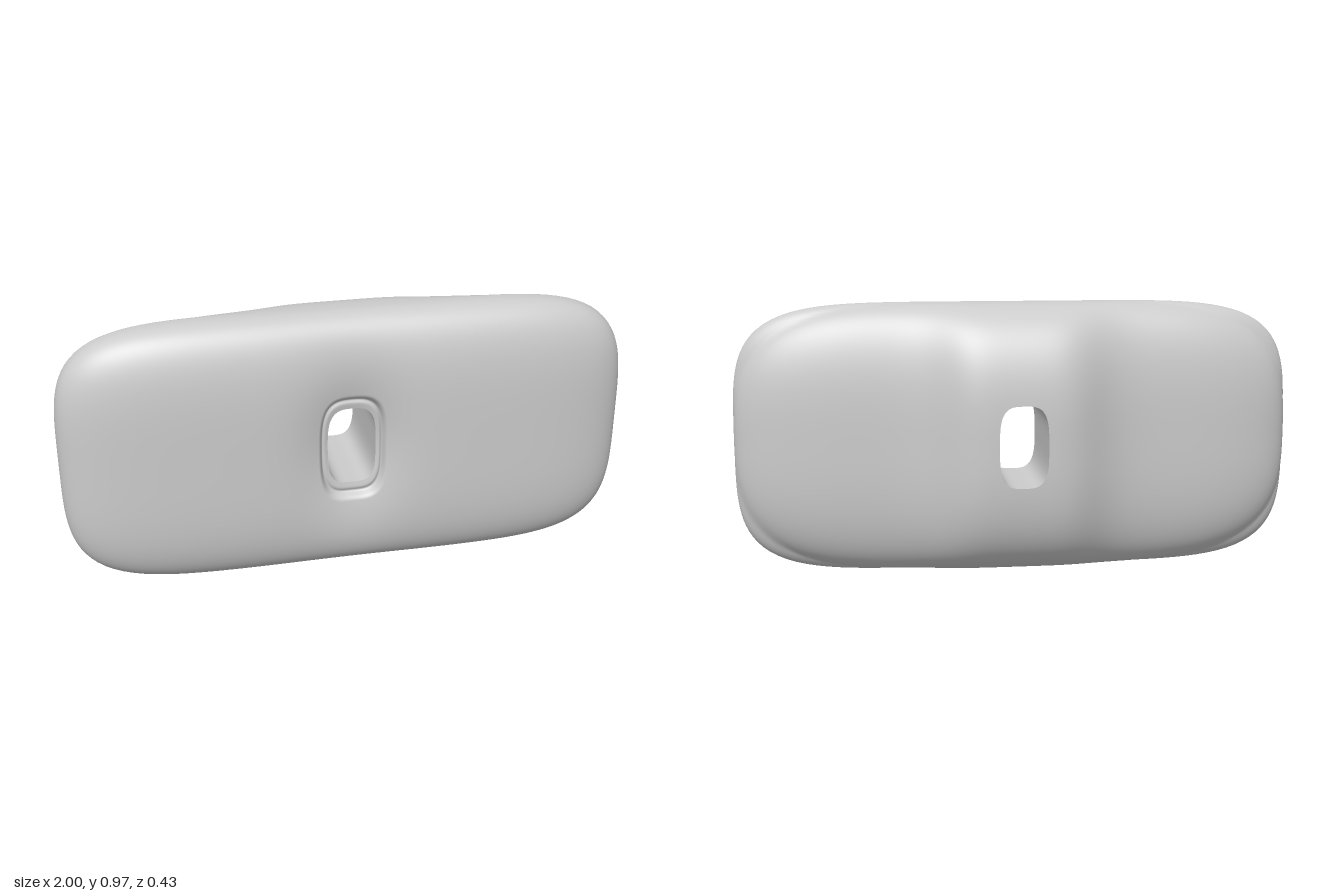
import * as THREE from 'three';

const SEG = 192;            // points around each ring
const HALF_H = 0.483;       // half height of the body
const EDGE_Z = 0.06;        // depth of the outer seam
const HOLE = { a: 0.085, b: 0.143 };

const smooth = (a, b, x) => THREE.MathUtils.smoothstep(x, a, b);
const holeNorm = (x, y) =>
  (Math.abs(x / HOLE.a) ** 3.4 + Math.abs(y / HOLE.b) ** 3.4) ** (1 / 3.4);
// 1 on the rounded outline, 0 at the centre
const outline = (x, y) => Math.abs(x) ** 6 + Math.abs(y / HALF_H) ** 4;

// Front face: soft pillow with a dent around the hole and a stepped rim
function frontZ(x, y) {
  const pillow = Math.max(0, 1 - outline(x, y)) ** 0.4;
  const dip = 0.006 / (1 + (x / 0.25) ** 4);
  const dent = 0.06 * Math.exp(-((x / 0.15) ** 2) - (y / 0.24) ** 2);
  const q = holeNorm(x, y);
  const rim = 0.016 * (1 - smooth(1.2, 1.42, q)) + 0.01 * Math.exp(-(((q - 1.25) / 0.06) ** 2));
  return EDGE_Z + (0.155 - dip) * pillow - dent - rim;
}

// Back face: pillow with a broad raised band down the middle
function backZ(x, y) {
  const s = Math.abs(x) ** 4.5 + Math.abs(y / HALF_H) ** 3;
  const round = Math.max(0, 1 - s) ** 0.435;
  const edge = Math.max(0, 1 - outline(x, y)) ** 0.435;
  const band = 0.12 / (1 + Math.abs(x / 0.28) ** 5);
  // follow the outline where the rounder pillow would stop short of it
  const fall = Math.max(round, edge * 0.55);
  return EDGE_Z - (0.16 + band) * fall;
}

// Hole and outline points along one direction
const rays = Array.from({ length: SEG }, (_, i) => {
  const t = (i / SEG) * Math.PI * 2;
  const dx = Math.cos(t), dy = Math.sin(t) * 0.6;
  const h = 1 / holeNorm(dx, dy);
  let lo = 0, hi = 2;
  for (let k = 0; k < 40; k++) {
    const m = (lo + hi) / 2;
    if (outline(dx * m, dy * m) < 1) lo = m; else hi = m;
  }
  return { dx, dy, h, o: lo };
});

// Ring positions from the hole (rim first) out to the outline
const RIM = 14, OUT = 44, RIM_Q = 1.45;
const radius = (ray, k) => {
  if (k <= RIM) return ray.h * (1 + ((RIM_Q - 1) * k) / RIM);
  const t = Math.sin(((k - RIM) / OUT) * Math.PI / 2);
  return THREE.MathUtils.lerp(ray.h * RIM_Q, ray.o, t);
};

// Join closed rings of points into a smooth skin
function skin(rings) {
  const pos = [], index = [];
  rings.forEach((ring) => ring.forEach((p) => pos.push(...p)));
  for (let r = 0; r < rings.length - 1; r++) {
    for (let i = 0; i < SEG; i++) {
      const j = (i + 1) % SEG;
      const a = r * SEG + i, b = a + SEG, c = (r + 1) * SEG + j, d = r * SEG + j;
      index.push(a, b, c, a, c, d);
    }
  }
  const geo = new THREE.BufferGeometry();
  geo.setAttribute('position', new THREE.Float32BufferAttribute(pos, 3));
  geo.setIndex(index);
  geo.computeVertexNormals();
  return geo;
}

function ringAt(k, zAt) {
  return rays.map((ray) => {
    const r = radius(ray, k), x = ray.dx * r, y = ray.dy * r;
    return [x, y + HALF_H, zAt(x, y)];
  });
}

export function createModel() {
  const group = new THREE.Group();
  group.name = 'pillowPlate';
  const material = new THREE.MeshStandardMaterial({ color: 0xcccccc, side: THREE.DoubleSide });

  // Body: front rings outwards, round the edge, back rings inwards
  const rings = [];
  for (let k = 0; k <= RIM + OUT; k++) rings.push(ringAt(k, frontZ));
  for (let k = RIM + OUT - 1; k >= 0; k--) rings.push(ringAt(k, backZ));
  const body = new THREE.Mesh(skin(rings), material);
  body.name = 'body';

  // Straight wall of the through hole, from back to front
  const front = rings[0], back = rings[rings.length - 1];
  const wall = [0, 0.25, 0.5, 0.75, 1].map((t) =>
    back.map((p, i) => [p[0], p[1], THREE.MathUtils.lerp(p[2], front[i][2], t)]));
  const tunnel = new THREE.Mesh(skin(wall), material);
  tunnel.name = 'holeWall';

  group.add(body, tunnel);
  return group;
}
